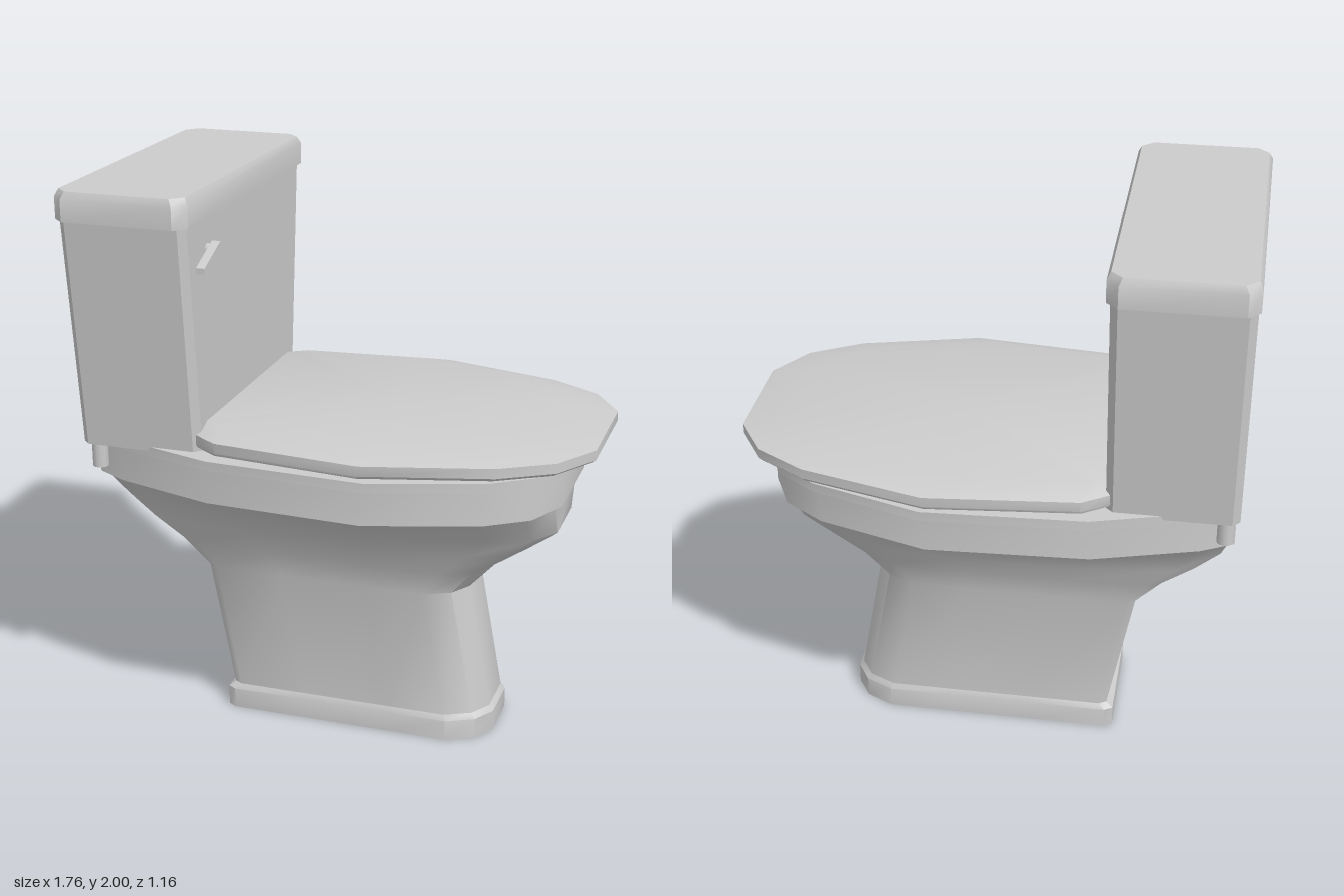
import * as THREE from 'three';
import { toCreasedNormals } from 'three/addons/utils/BufferGeometryUtils.js';

const grey = new THREE.MeshStandardMaterial({ color: 0xcccccc, side: THREE.DoubleSide });

// Half outlines [x, z], back to front; the -z half is mirrored.
// OVAL and FOOT are normalised: x 0..1 along the length, z 0..1 of the half width.
const OVAL = [[0, 0.65], [0.07, 0.76], [0.29, 0.95], [0.63, 1], [0.865, 0.79], [0.955, 0.61], [1, 0.34]];
const FOOT = [[0, 0.92], [0.03, 1], [0.3, 1], [0.63, 1], [0.85, 1], [0.95, 0.78], [1, 0.42]];
const SEAT = [[-0.45, 0.46], [-0.41, 0.49], [-0.35, 0.53], [0.17, 0.582], [0.6, 0.468], [0.78, 0.36], [0.88, 0.2]];

// Section of the bowl: t blends from oval (0) to foot (1)
function bowlRing(y, back, front, width, t) {
  const half = OVAL.map(([u, v], i) => [
    back + (front - back) * THREE.MathUtils.lerp(u, FOOT[i][0], t),
    width * THREE.MathUtils.lerp(v, FOOT[i][1], t),
  ]);
  return { y, half };
}

// Rectangle with chamfered corners
function boxRing(y, back, front, width, c) {
  return { y, half: [[back, width - c], [back + c, width], [front - c, width], [front, width - c]] };
}

// Seat outline shrunk towards its back edge
function seatRing(y, sx, sz) {
  return { y, half: SEAT.map(([x, z]) => [-0.4 + (x + 0.4) * sx, z * sz]) };
}

// Skin a stack of sections, bottom to top
function loft(rings, { bottom = true, top = true, crease = 0.6 } = {}) {
  const loops = rings.map(({ y, half }) => [
    ...half.map(([x, z]) => new THREE.Vector3(x, y, z)),
    ...half.slice().reverse().map(([x, z]) => new THREE.Vector3(x, y, -z)),
  ]);
  const n = loops[0].length;
  const points = [];
  const cap = (loop, up) => {
    const xs = loop.map((p) => p.x);
    const centre = new THREE.Vector3((Math.min(...xs) + Math.max(...xs)) / 2, loop[0].y, 0);
    loop.forEach((p, i) => {
      const q = loop[(i + 1) % n];
      points.push(centre, ...(up ? [p, q] : [q, p]));
    });
  };
  for (let k = 0; k < loops.length - 1; k++) {
    for (let i = 0; i < n; i++) {
      const j = (i + 1) % n;
      const a = loops[k][i], b = loops[k][j], c = loops[k + 1][j], d = loops[k + 1][i];
      points.push(a, b, c, a, c, d);
    }
  }
  if (bottom) cap(loops[0], false);
  if (top) cap(loops[loops.length - 1], true);
  return toCreasedNormals(new THREE.BufferGeometry().setFromPoints(points), crease);
}

export function createModel() {
  const model = new THREE.Group();
  model.name = 'toilet';
  const add = (name, geometry, x = 0, y = 0, z = 0) => {
    const mesh = new THREE.Mesh(geometry, grey);
    mesh.name = name;
    mesh.position.set(x, y, z);
    model.add(mesh);
    return mesh;
  };

  // Hollow foot plinth, open at the floor
  add('footPlinth', loft([
    bowlRing(0, -0.455, 0.53, 0.22, 1),
    bowlRing(0.075, -0.455, 0.53, 0.22, 1),
    bowlRing(0.095, -0.43, 0.515, 0.21, 1),
  ], { bottom: false, top: false }));

  // Leaning pedestal flaring into the bowl
  add('pedestalAndBowl', loft([
    bowlRing(0.09, -0.43, 0.515, 0.21, 1),
    bowlRing(0.56, -0.52, 0.43, 0.21, 0.95),
    bowlRing(0.66, -0.61, 0.52, 0.25, 0.7),
    bowlRing(0.74, -0.72, 0.635, 0.29, 0.4),
    bowlRing(0.82, -0.81, 0.745, 0.34, 0.1),
    bowlRing(0.95, -0.835, 0.745, 0.545, 0),
  ], { bottom: false, top: false, crease: 0.8 }));

  // Rim band with a thin lip on top
  add('rim', loft([
    bowlRing(0.95, -0.855, 0.77, 0.555, 0),
    bowlRing(1.08, -0.855, 0.77, 0.555, 0),
  ]));
  add('rimLip', loft([
    bowlRing(1.075, -0.855, 0.79, 0.572, 0),
    bowlRing(1.108, -0.855, 0.79, 0.572, 0),
  ]));

  // Closed seat lid, domed at the edge
  add('seatLid', loft([
    seatRing(1.125, 0.99, 0.99),
    seatRing(1.135, 1, 1),
    seatRing(1.17, 1, 1),
    seatRing(1.2, 0.885, 0.84),
  ]));

  // Tapered tank and its overhanging cover
  add('tank', loft([
    boxRing(1.093, -0.868, -0.425, 0.472, 0.025),
    boxRing(1.9, -0.872, -0.422, 0.55, 0.025),
  ]));
  add('tankCover', loft([
    boxRing(1.9, -0.88, -0.41, 0.58, 0.04),
    boxRing(1.975, -0.88, -0.41, 0.58, 0.04),
    boxRing(2, -0.868, -0.422, 0.568, 0.04),
  ]));

  // Seat hinges and the tank bolts under the back corners
  for (const side of [1, -1]) {
    add('seatHinge', new THREE.BoxGeometry(0.04, 0.05, 0.1), -0.43, 1.12, side * 0.3);
    add('tankBolt', new THREE.CylinderGeometry(0.028, 0.028, 0.1, 12), -0.822, 1.05, side * 0.425);
  }

  // Flush lever: a tapered paddle on a short spindle
  const paddle = new THREE.Shape([
    [-0.5, 1.742], [-0.42, 1.75], [-0.34, 1.765], [-0.322, 1.785], [-0.33, 1.808], [-0.358, 1.82], [-0.5, 1.762],
  ].map(([x, y]) => new THREE.Vector2(x, y)));
  const lever = new THREE.ExtrudeGeometry(paddle, { depth: 0.03, bevelEnabled: false });
  add('flushLever', lever.rotateY(Math.PI / 2), -0.405);
  const spindle = new THREE.CylinderGeometry(0.02, 0.02, 0.04, 12).rotateZ(Math.PI / 2);
  add('leverSpindle', spindle, -0.418, 1.79, 0.36);

  return model;
}
